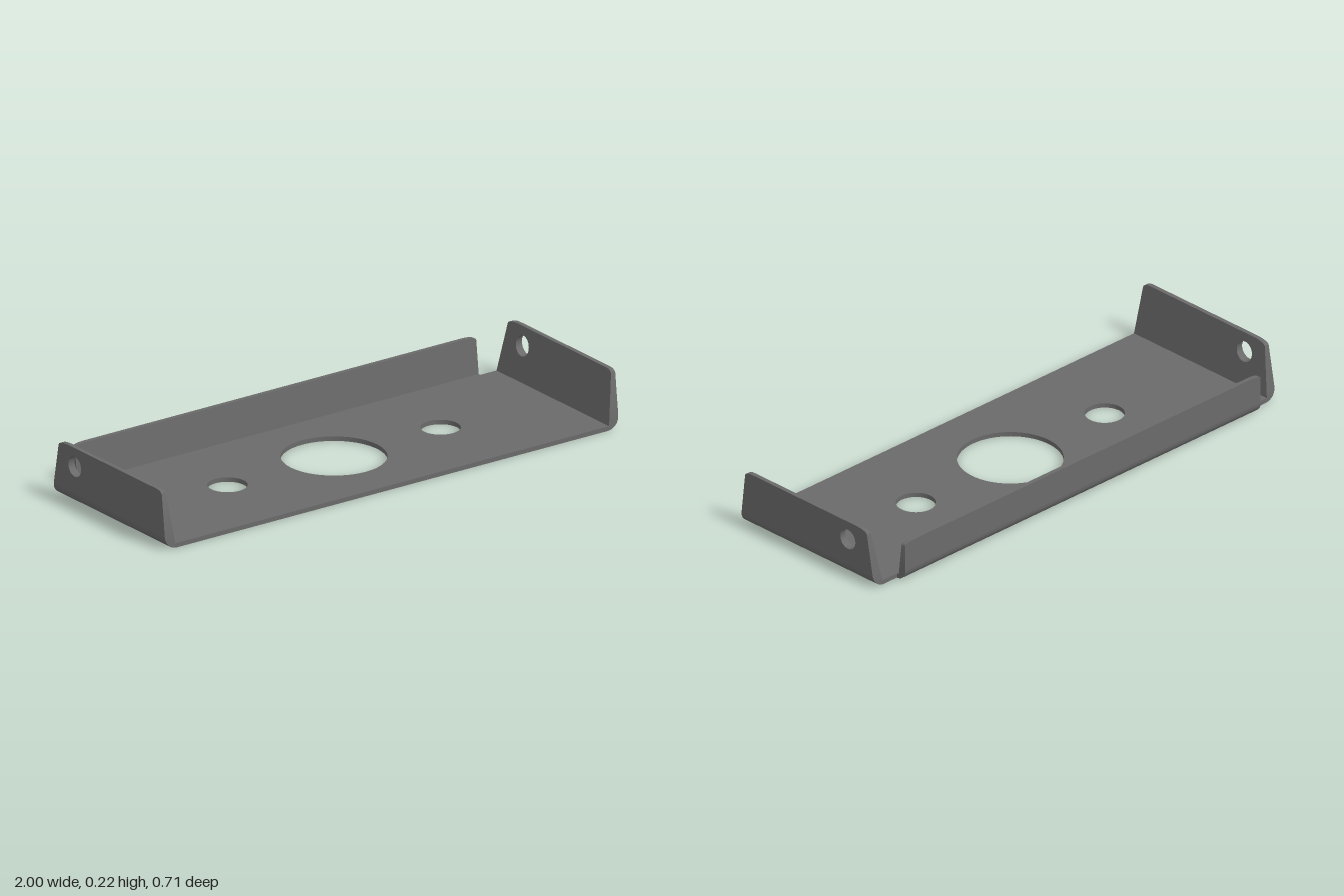
import * as THREE from 'three';
import { toCreasedNormals } from 'three/addons/utils/BufferGeometryUtils.js';

const T = 0.017; // sheet thickness

// Apply a rule to every vertex, then keep cut edges sharp and bends smooth
function shapeBy(geometry, rule) {
  const p = geometry.attributes.position;
  const v = new THREE.Vector3();
  for (let i = 0; i < p.count; i++) {
    v.fromBufferAttribute(p, i);
    rule(v);
    p.setXYZ(i, v.x, v.y, v.z);
  }
  return toCreasedNormals(geometry, 0.6);
}

function circleHole(x, y, r) {
  const path = new THREE.Path();
  path.absarc(x, y, r, 0, Math.PI * 2, true);
  return path;
}

// A turned-up edge running along x, with its outer face at z = 0.
// Each end is { bottom, top, run }: x at the foot, x at the corner, corner length.
function makeFlange(name, { left, right, height, corner, bend, foot, hole }, material) {
  const group = new THREE.Group();
  group.name = name;
  const shoulder = height - corner;
  const edge = (end, y) => THREE.MathUtils.lerp(end.bottom, end.top,
    THREE.MathUtils.clamp((y - T) / (shoulder - T), 0, 1));
  const thickness = y => THREE.MathUtils.lerp(foot, T, (y - T) / (height - T));

  // Upright plate with softened top corners
  const s = new THREE.Shape();
  s.moveTo(edge(left, bend), bend);
  s.lineTo(edge(right, bend), bend);
  s.lineTo(right.top, shoulder);
  s.bezierCurveTo(right.top, height - corner * 0.35, right.top - right.run * 0.4, height,
    right.top - right.run, height);
  s.lineTo(left.top + left.run, height);
  s.bezierCurveTo(left.top + left.run * 0.4, height, left.top, height - corner * 0.35,
    left.top, shoulder);
  s.closePath();
  if (hole) s.holes.push(circleHole(...hole));
  const plate = new THREE.ExtrudeGeometry(s, { depth: 1, bevelEnabled: false, curveSegments: 24 });
  const plateMesh = new THREE.Mesh(
    shapeBy(plate, v => { v.z = (v.z - 1) * thickness(v.y); }), material);
  plateMesh.name = name + 'Plate';

  // Rounded bend joining the plate to the base
  const c = new THREE.Shape();
  c.moveTo(-bend, 0);
  c.absarc(-bend, bend, bend, -Math.PI / 2, 0, false);
  c.lineTo(-thickness(bend), bend);
  c.lineTo(-foot, T);
  c.lineTo(-bend, T);
  c.closePath();
  const strip = new THREE.ExtrudeGeometry(c, { depth: 1, bevelEnabled: false, curveSegments: 12 });
  strip.rotateY(-Math.PI / 2);
  const bendMesh = new THREE.Mesh(
    shapeBy(strip, v => { v.x = THREE.MathUtils.lerp(edge(right, v.y), edge(left, v.y), -v.x); }),
    material);
  bendMesh.name = name + 'Bend';

  group.add(plateMesh, bendMesh);
  return group;
}

export function createModel() {
  const model = new THREE.Group();
  model.name = 'mountingBracket';
  const steel = new THREE.MeshStandardMaterial({ color: 0x6a6a6a });
  steel.name = 'dark grey steel';

  // Flat base with one large and two small holes
  const outline = new THREE.Shape();
  outline.moveTo(-0.95, -0.357);
  outline.lineTo(0.95, -0.357);
  outline.lineTo(0.95, 0.315);
  outline.lineTo(-0.95, 0.315);
  outline.closePath();
  outline.holes.push(circleHole(0, -0.01, 0.19));
  for (const x of [-0.47, 0.47]) outline.holes.push(circleHole(x, -0.01, 0.072));
  const baseGeometry = new THREE.ExtrudeGeometry(outline,
    { depth: T, bevelEnabled: false, curveSegments: 48 });
  baseGeometry.rotateX(-Math.PI / 2);
  const base = new THREE.Mesh(toCreasedNormals(baseGeometry, 0.6), steel);
  base.name = 'base';
  model.add(base);

  // Mirrored side flanges, each with a hole near the back
  const front = { bottom: 0.357, top: 0.336, run: 0.036 };
  const back = { bottom: 0.315, top: 0.281, run: 0.062 };
  const negate = e => ({ bottom: -e.bottom, top: -e.top, run: e.run });
  for (const side of [1, -1]) {
    const flange = makeFlange(side > 0 ? 'leftFlange' : 'rightFlange', {
      left: negate(side > 0 ? front : back),
      right: side > 0 ? back : front,
      height: 0.219, corner: 0.018, bend: 0.05, foot: 0.043,
      hole: [side * 0.184, 0.148, 0.038],
    }, steel);
    flange.rotation.y = side * Math.PI / 2;
    flange.position.x = side;
    model.add(flange);
  }

  // Lower back flange, stopping short of the sides
  const end = { bottom: 0.885, top: 0.885, run: 0.06 };
  const backFlange = makeFlange('backFlange', {
    left: negate(end), right: end,
    height: 0.155, corner: 0.012, bend: 0.042, foot: 0.033,
  }, steel);
  backFlange.rotation.y = Math.PI;
  backFlange.position.z = -0.357;
  model.add(backFlange);

  return model;
}
